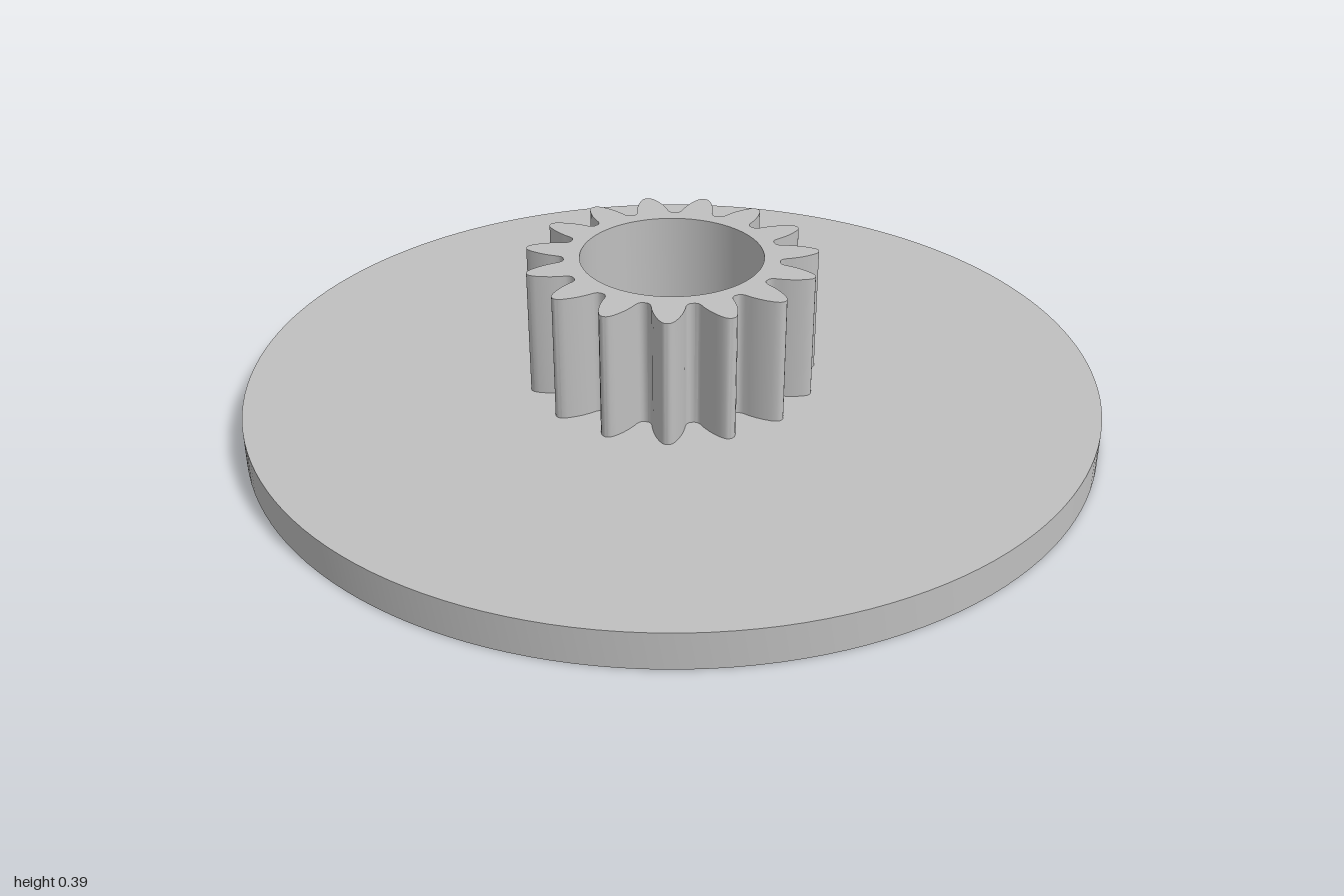
import * as THREE from 'three';
import { toCreasedNormals } from 'three/addons/utils/BufferGeometryUtils.js';

const PLATE_TOP = 0.085, GEAR_TOP = 0.385, SHELF = 0.12;
const BORE = 0.162, COUNTERBORE = 0.213;
const TEETH = 15, PIN_RADIUS = 0.03, PIN_DEPTH = 0.06, PIN_CIRCLE = 0.735;

export function createModel() {
  const group = new THREE.Group();
  const grey = new THREE.MeshStandardMaterial({ color: 0xbfbfbf });
  grey.name = 'grey';

  const add = (name, geometry) => {
    const mesh = new THREE.Mesh(geometry, grey);
    mesh.name = name;
    group.add(mesh);
    return mesh;
  };
  const lathe = (points, segments) => toCreasedNormals(
    new THREE.LatheGeometry(points.map(([r, y]) => new THREE.Vector2(r, y)), segments), 0.6);
  const circle = (x, y, r) => new THREE.Path().absarc(x, y, r, 0, Math.PI * 2, true);

  // Disc: rim and top, stepped bore, underside with three blind pin holes
  add('discRimAndTop', lathe([[1, 0], [1, PLATE_TOP], [0.23, PLATE_TOP]], 144));
  add('boreAndShelf', lathe([[COUNTERBORE, SHELF], [BORE, SHELF], [BORE, 0]], 72));

  const underside = new THREE.Shape().absarc(0, 0, 1, 0, Math.PI * 2, false);
  underside.holes.push(circle(0, 0, BORE));
  for (let i = 0; i < 3; i++) {
    const a = i * Math.PI * 2 / 3;
    const x = PIN_CIRCLE * Math.sin(a), z = PIN_CIRCLE * Math.cos(a);
    underside.holes.push(circle(x, z, PIN_RADIUS));
    add('pinHole', lathe([[0, PIN_DEPTH], [PIN_RADIUS, PIN_DEPTH], [PIN_RADIUS, 0]], 24))
      .position.set(x, 0, z);
  }
  add('discUnderside', new THREE.ShapeGeometry(underside, 72).rotateX(Math.PI / 2));

  // Gear: half a tooth as [radius, half width], mirrored and repeated
  const half = [[0.25, 0.047], [0.254, 0.041], [0.262, 0.038], [0.277, 0.036], [0.295, 0.032],
    [0.312, 0.026], [0.327, 0.019], [0.337, 0.012], [0.341, 0.006]];
  const tooth = [
    ...half.map(([r, w]) => [r, -w]), [0.342, 0],
    ...half.slice().reverse(),
  ];
  const outline = [];
  for (let i = 0; i < TEETH; i++) {
    const middle = Math.PI / 2 + i * Math.PI * 2 / TEETH;
    for (const [r, w] of tooth) {
      const a = middle + w / r;
      outline.push(new THREE.Vector2(r * Math.cos(a), r * Math.sin(a)));
    }
  }
  const gearShape = new THREE.Shape(outline);
  gearShape.holes.push(circle(0, 0, COUNTERBORE));
  const gear = new THREE.ExtrudeGeometry(gearShape, {
    depth: GEAR_TOP - PLATE_TOP, bevelEnabled: false, curveSegments: 72,
  });
  gear.rotateX(-Math.PI / 2).translate(0, PLATE_TOP, 0);
  add('gear', toCreasedNormals(gear, 0.7));

  return group;
}
